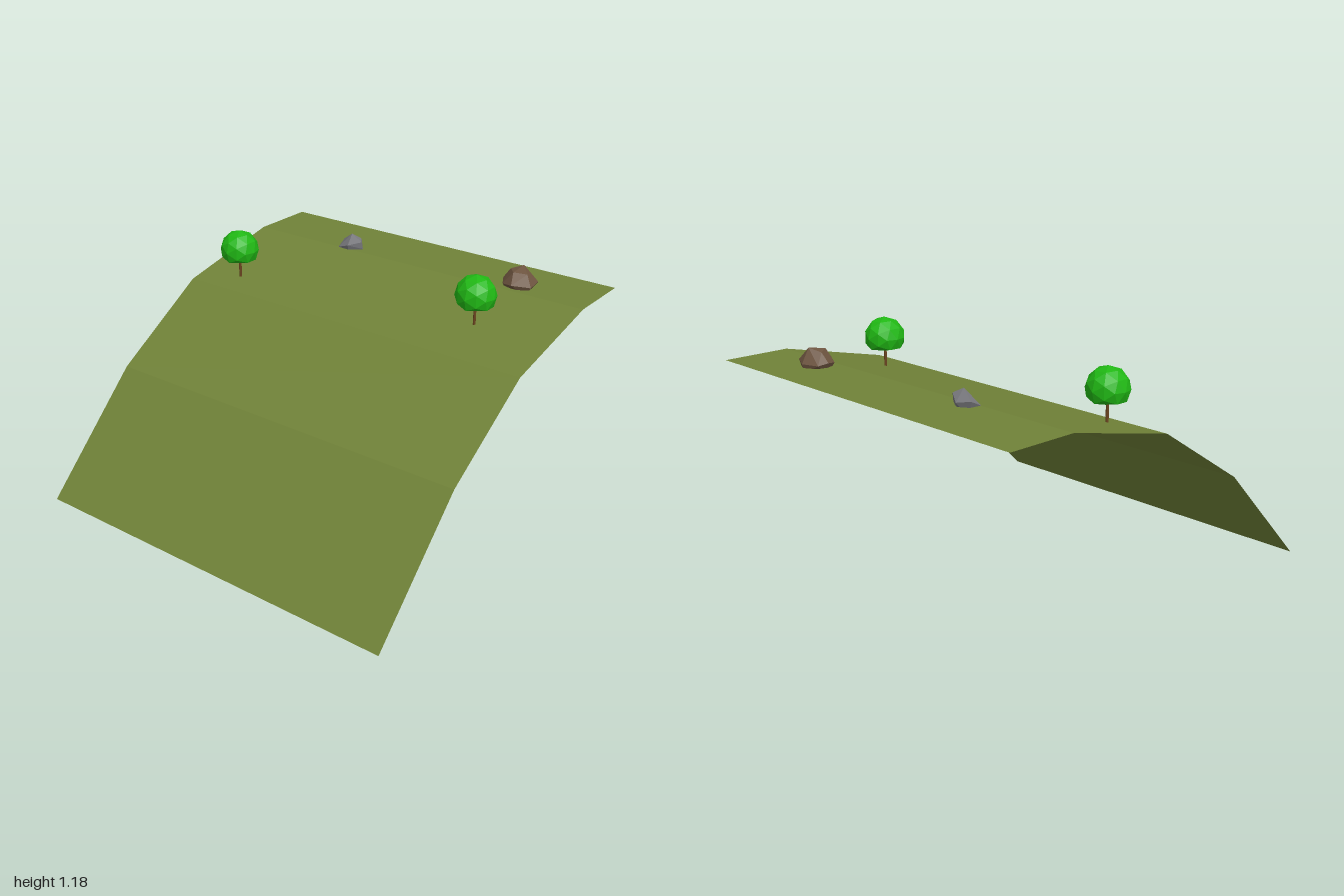
import * as THREE from 'three';
import { ConvexGeometry } from 'three/addons/geometries/ConvexGeometry.js';

const material = (color, side = THREE.FrontSide) =>
  new THREE.MeshStandardMaterial({ color, side, flatShading: true });

function addMesh(parent, name, geometry, mat) {
  const mesh = new THREE.Mesh(geometry, mat);
  mesh.name = name;
  parent.add(mesh);
  return mesh;
}

// Thin hillside: a plane whose rows follow a [z, y] profile
function hillGeometry() {
  const profile = [[-1, 1], [-0.65, 1], [-0.06, 0.867], [0.46, 0.54], [1, 0]];
  const geo = new THREE.PlaneGeometry(2, 2, 1, profile.length - 1);
  const pos = geo.attributes.position;
  for (let i = 0; i < pos.count; i++) {
    const [z, y] = profile[Math.floor(i / 2)];
    pos.setXYZ(i, pos.getX(i), y, z);
  }
  geo.computeVertexNormals();
  return geo;
}

// Faceted ball with its underside flattened
function crownGeometry() {
  const geo = new THREE.IcosahedronGeometry(0.102, 1);
  const pos = geo.attributes.position;
  for (let i = 0; i < pos.count; i++) pos.setY(i, Math.max(pos.getY(i), -0.058));
  geo.computeVertexNormals();
  return geo;
}

// Tree standing with the trunk foot at the given point
function makeTree(name, x, y, z) {
  const tree = new THREE.Group();
  tree.name = name;
  tree.position.set(x, y, z);
  addMesh(tree, 'trunk', new THREE.CylinderGeometry(0.007, 0.007, 0.16, 8), material(0x6b4420)).position.y = 0.08;
  addMesh(tree, 'crown', crownGeometry(), material(0x20b814)).position.y = 0.175;
  return tree;
}

// Angular boulder: convex hull of a few corners
function makeRock(name, color, corners, x, y, z) {
  const geo = new ConvexGeometry(corners.map((c) => new THREE.Vector3(...c)));
  const rock = new THREE.Mesh(geo, material(color));
  rock.name = name;
  rock.position.set(x, y, z);
  return rock;
}

export function createModel() {
  const model = new THREE.Group();
  model.name = 'hillside';

  addMesh(model, 'hill', hillGeometry(), material(0x708238, THREE.DoubleSide));

  model.add(makeTree('rightTree', -0.77, 0.875, -0.19));
  model.add(makeTree('leftTree', 0.595, 0.903, -0.33));

  model.add(makeRock('brownRock', 0x6e5540, [
    [0, 0.08, -0.045], [-0.01, 0.065, 0.045], [0.055, 0.06, 0.02], [-0.055, 0.06, -0.01],
    [0.003, 0.005, -0.085], [0.085, 0.01, -0.045], [0.088, 0, 0.035], [0.005, 0.01, 0.088],
    [-0.058, 0, 0.06], [-0.086, 0.01, 0.005], [-0.07, 0, -0.045],
    [0.01, -0.045, -0.07], [0.055, -0.05, 0.03], [-0.05, -0.055, 0.02], [0, -0.075, 0.005],
  ], 0.6, 1.015, -0.74));

  model.add(makeRock('greyRock', 0x77777c, [
    [0, 0.075, -0.005], [-0.066, 0.03, -0.025], [0.045, 0.05, -0.03], [0.07, 0.043, 0.005],
    [-0.006, 0.02, -0.058], [0.076, 0.005, 0], [0.01, 0.025, 0.05], [-0.06, 0, 0.038],
    [0.02, -0.045, -0.03], [-0.04, -0.04, -0.015], [0, -0.07, 0.02],
  ], -0.4, 1, -0.685));

  return model;
}
